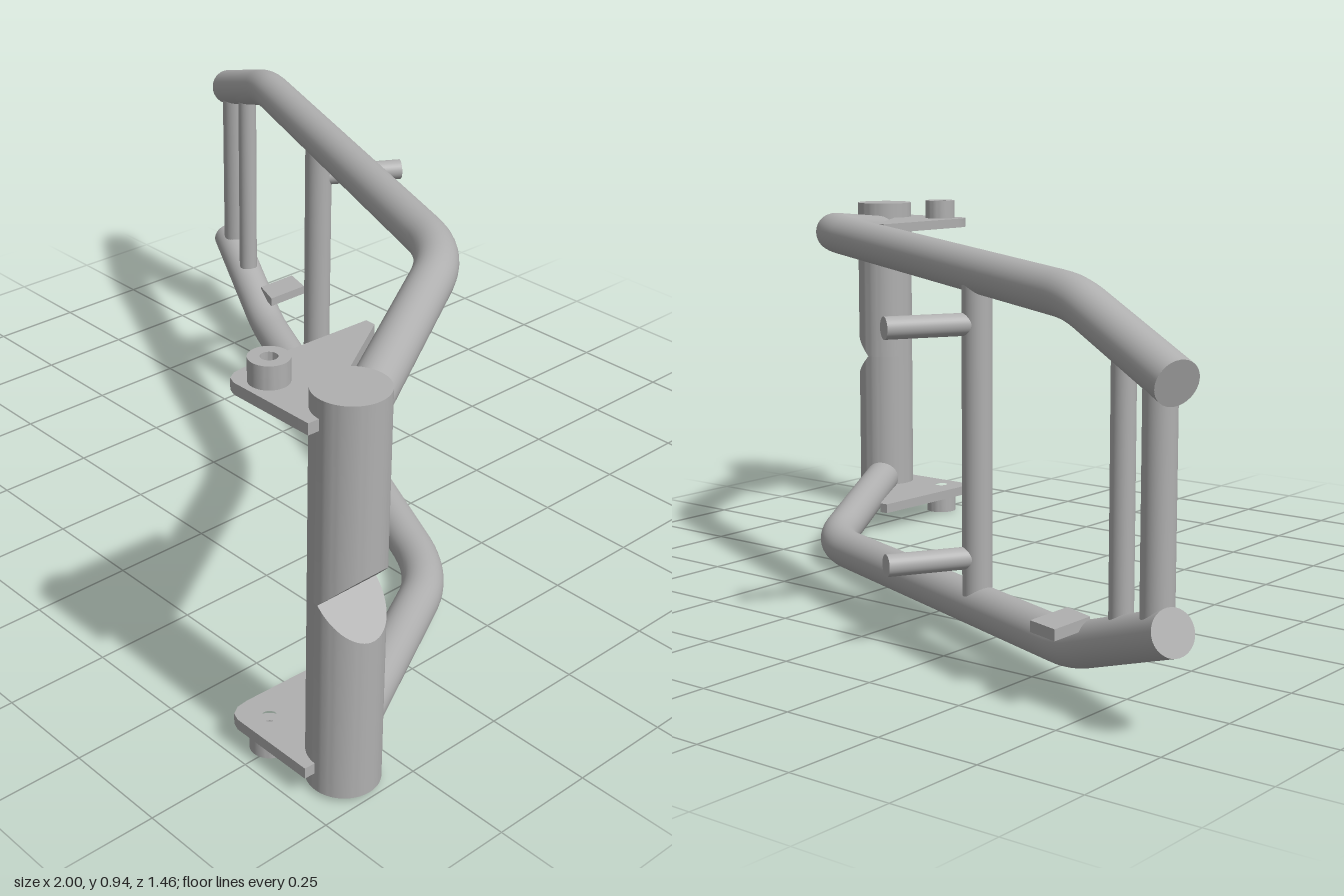
import * as THREE from 'three';
import { toCreasedNormals } from 'three/addons/utils/BufferGeometryUtils.js';

const MID = 0.475; // the frame mirrors about this height
const V = (x, y, z) => new THREE.Vector3(x, y, z);

// Polyline with rounded corners
function bentPath(points, fillets) {
  const path = new THREE.CurvePath();
  let from = points[0];
  for (let i = 1; i < points.length - 1; i++) {
    const p = points[i], f = fillets[i - 1];
    const a = p.clone().add(points[i - 1].clone().sub(p).setLength(f));
    const b = p.clone().add(points[i + 1].clone().sub(p).setLength(f));
    path.add(new THREE.LineCurve3(from, a));
    path.add(new THREE.QuadraticBezierCurve3(a, p, b));
    from = b;
  }
  path.add(new THREE.LineCurve3(from, points[points.length - 1]));
  return path;
}

// Horizontal plate from an outline in x and z, with an optional round hole
function plateGeometry(outline, thickness, hole) {
  const shape = new THREE.Shape(outline.map(([x, z]) => new THREE.Vector2(x, -z)));
  if (hole) shape.holes.push(new THREE.Path().absarc(hole[0], -hole[1], hole[2], 0, Math.PI * 2, true));
  const g = new THREE.ExtrudeGeometry(shape, { depth: thickness, bevelEnabled: false, curveSegments: 24 });
  return toCreasedNormals(g.rotateX(-Math.PI / 2), 0.6);
}

export function createModel() {
  const model = new THREE.Group();
  const steel = new THREE.MeshStandardMaterial({ color: 0xb0b0b0 });
  steel.name = 'steel grey';

  const add = (name, geometry, parent = model) => {
    const mesh = new THREE.Mesh(geometry, steel);
    mesh.name = name;
    parent.add(mesh);
    return mesh;
  };

  // Round bar between two points
  const bar = (name, a, b, r) => {
    const mesh = add(name, new THREE.CylinderGeometry(r, r, a.distanceTo(b), 32));
    mesh.position.copy(a).add(b).multiplyScalar(0.5);
    mesh.quaternion.setFromUnitVectors(V(0, 1, 0), b.clone().sub(a).normalize());
  };

  // Hinge column: two halves whose inner ends are cut at 45 degrees, leaving a notch
  for (const [name, turn] of [['upperColumn', 0], ['lowerColumn', Math.PI]]) {
    const h = 0.46;
    const g = new THREE.CylinderGeometry(0.08, 0.08, h, 64).translate(0, h / 2, 0);
    const p = g.attributes.position;
    for (let i = 0; i < p.count; i++) {
      if (p.getY(i) < 0.001) p.setY(i, Math.max(0, p.getX(i)));
    }
    const half = add(name, toCreasedNormals(g, 0.5));
    half.position.set(0.915, MID, 0.622);
    half.rotation.x = turn;
  }

  // Upper and lower bent rails with closed ends
  for (const [name, s] of [['upperRail', 1], ['lowerRail', -1]]) {
    const rail = new THREE.Group();
    rail.name = name;
    model.add(rail);
    const points = [
      V(-0.98, 0.243, -0.683), V(-0.63, 0.37, -0.528),
      V(0.565, 0.423, 0.002), V(0.905, 0.37, 0.6),
    ].map(p => V(p.x, MID + s * p.y, p.z));
    const path = bentPath(points, [0.06, 0.13]);
    add(name + 'Tube', new THREE.TubeGeometry(path, 96, 0.05, 32, false), rail);
    for (const t of [0, 1]) {
      const cap = add(name + 'Cap', new THREE.CircleGeometry(0.05, 32), rail);
      cap.position.copy(path.getPointAt(t));
      const out = path.getTangentAt(t).multiplyScalar(t ? 1 : -1);
      cap.quaternion.setFromUnitVectors(V(0, 0, 1), out);
    }
  }

  // Uprights joining the rails
  for (const [name, x, z, r, h] of [
    ['outerUpright', -0.93, -0.663, 0.035, 0.26],
    ['slimUpright', -0.805, -0.605, 0.026, 0.305],
    ['middleUpright', -0.235, -0.36, 0.035, 0.385],
  ]) bar(name, V(x, MID - h, z), V(x, MID + h, z), r);

  for (const s of [1, -1]) {
    const side = s > 0 ? 'upper' : 'lower';
    const y = MID + s * 0.27;

    // Stub pegs on the back of the middle upright
    bar(side + 'Peg', V(-0.235, y, -0.36), V(-0.125, y, -0.552), 0.026);

    // Hinge plates with drilled bosses
    const plate = add(side + 'HingePlate', plateGeometry([
      [0.675, 0.35], [0.7, 0.35], [0.89, 0.66], [0.915, 0.65], [0.912, 0.728],
      [0.7, 0.728], [0.68, 0.72], [0.668, 0.7], [0.665, 0.67],
    ], 0.026, [0.737, 0.67, 0.018]));
    plate.position.y = MID + s * 0.405 - 0.013;

    const ring = [];
    for (let i = 0; i < 40; i++) {
      const a = -i / 40 * Math.PI * 2;
      ring.push([0.737 + 0.043 * Math.cos(a), 0.67 + 0.043 * Math.sin(a)]);
    }
    const boss = add(side + 'Boss', plateGeometry(ring, 0.053, [0.737, 0.67, 0.018]));
    boss.position.y = MID + s * 0.4435 - 0.0265;
  }

  // Small tab on the lower rail
  const tab = add('tab', plateGeometry(
    [[-0.7, -0.688], [-0.62, -0.665], [-0.62, -0.535], [-0.7, -0.565]], 0.025));
  tab.position.y = 0.165;

  return model;
}
